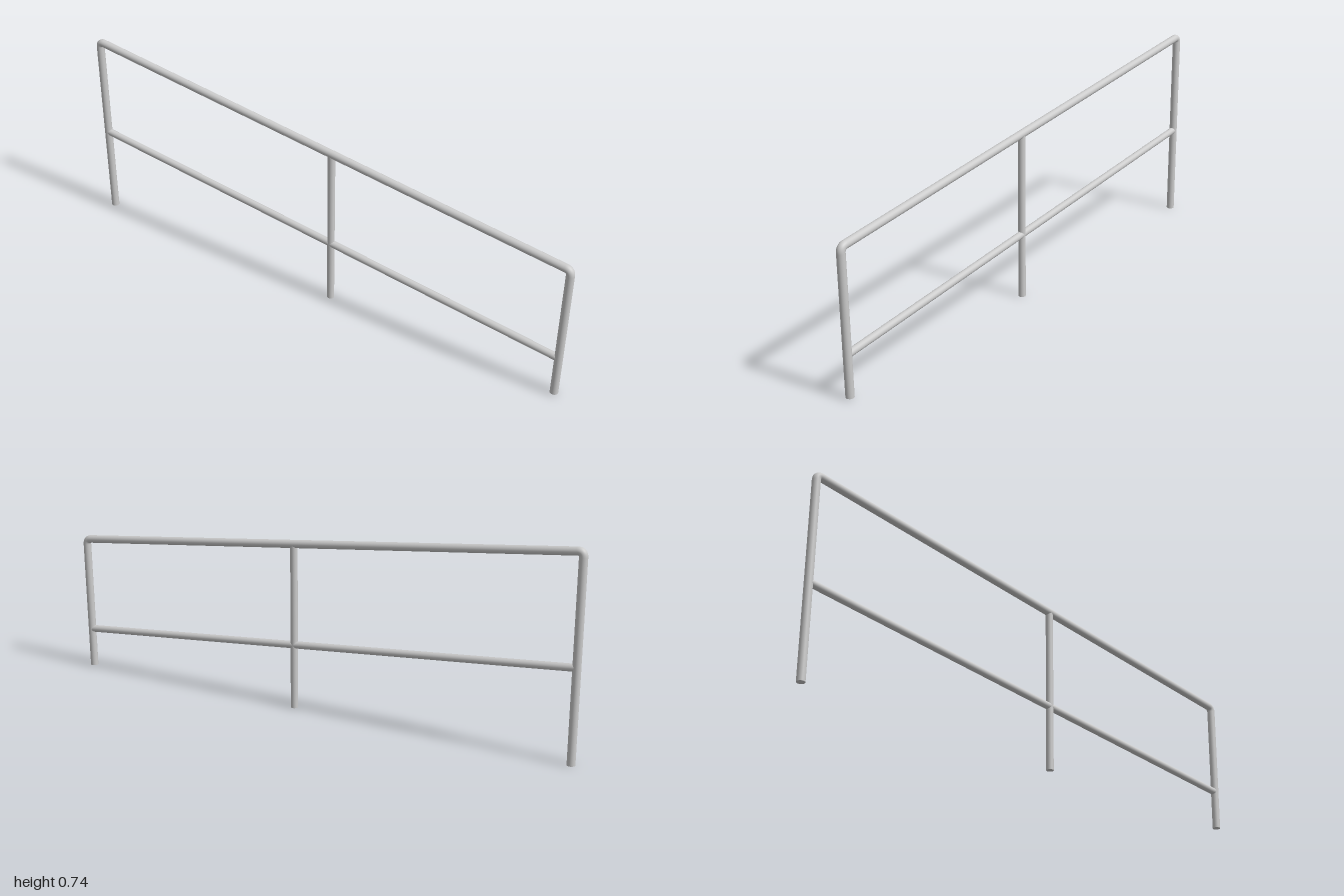
import * as THREE from 'three';

const R = 0.0145;
const SIDES = 24;
const material = new THREE.MeshStandardMaterial({ color: 0xcccccc });
const point = (y, z) => new THREE.Vector3(0, y, z);

// Straight round bar between two points
function bar(name, a, b, radius = R, open = false) {
  const dir = b.clone().sub(a);
  const geo = new THREE.CylinderGeometry(radius, radius, dir.length(), SIDES, 1, open);
  const mesh = new THREE.Mesh(geo, material);
  mesh.name = name;
  mesh.position.copy(a).add(b).multiplyScalar(0.5);
  mesh.quaternion.setFromUnitVectors(new THREE.Vector3(0, 1, 0), dir.normalize());
  return mesh;
}

// Short rounded elbow joining two bars at a corner
function elbow(name, a, corner, b) {
  const curve = new THREE.QuadraticBezierCurve3(a, corner, b);
  const mesh = new THREE.Mesh(new THREE.TubeGeometry(curve, 12, R, SIDES), material);
  mesh.name = name;
  return mesh;
}

export function createModel() {
  const group = new THREE.Group();
  group.name = 'slopedHandrail';

  // Outer frame: front post, sloping top rail, back post
  const frontFoot = point(0.004, 0.979), frontCorner = point(0.513, 0.986);
  const backFoot = point(0, -0.9855), backCorner = point(0.728, -0.9855);
  const inset = (corner, to) => corner.clone().add(to.clone().sub(corner).setLength(0.02));
  const frontLow = inset(frontCorner, frontFoot), frontHigh = inset(frontCorner, backCorner);
  const backLow = inset(backCorner, backFoot), backHigh = inset(backCorner, frontCorner);

  group.add(
    bar('frontPost', frontFoot, frontLow),
    elbow('frontElbow', frontLow, frontCorner, frontHigh),
    bar('topRail', frontHigh, backHigh, R, true),
    elbow('backElbow', backHigh, backCorner, backLow),
    bar('backPost', backLow, backFoot)
  );

  // Middle post and lower rail
  group.add(
    bar('middlePost', point(0, 0.067), point(0.612, 0.067), 0.0132),
    bar('lowerRail', point(0.153, 0.977), point(0.339, -0.98), 0.0132)
  );
  return group;
}
